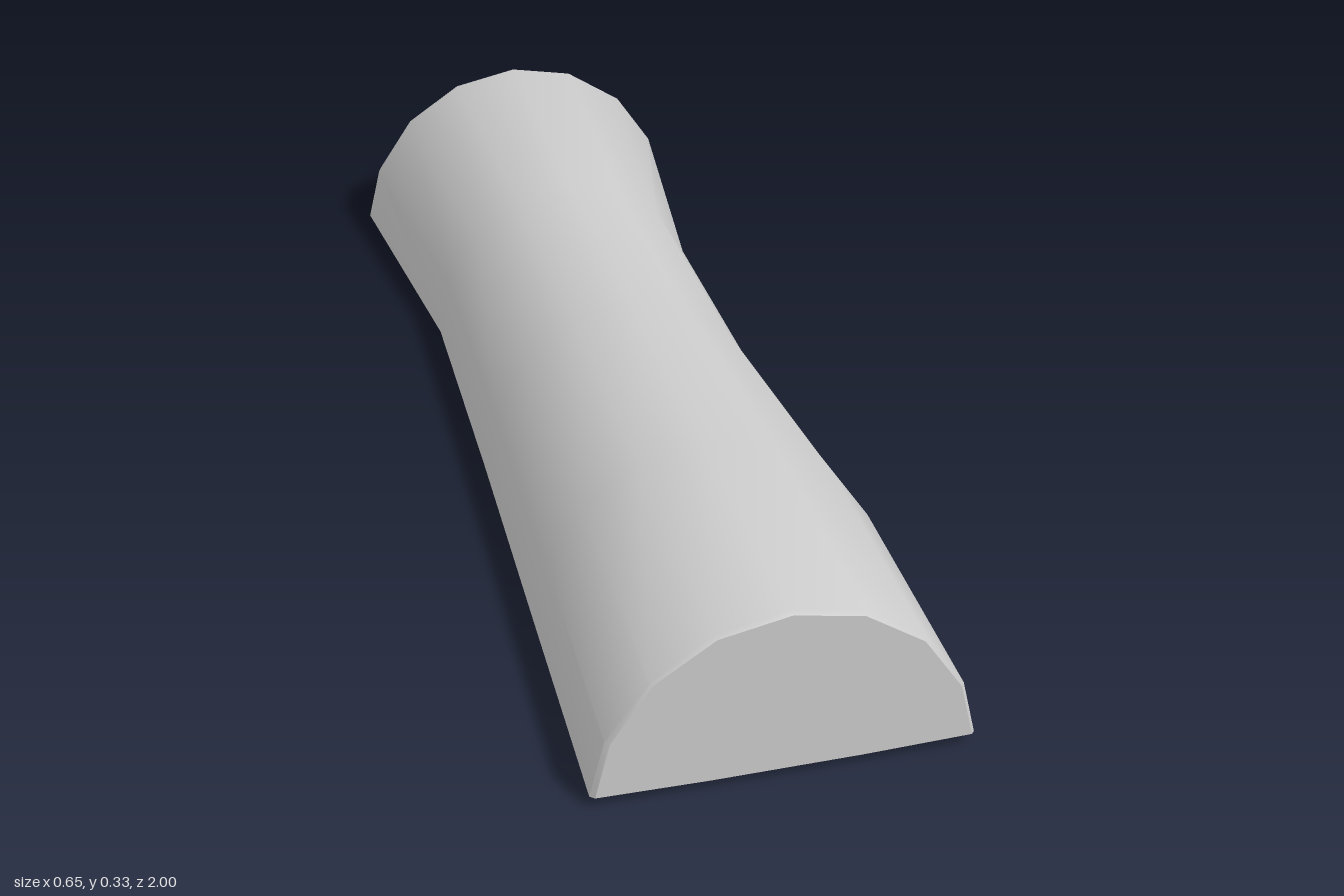
import * as THREE from 'three';
import { toCreasedNormals } from 'three/addons/utils/BufferGeometryUtils.js';

// Stations along the log: z, right half-width (-x), left half-width (+x), top height, underside height
const STATIONS = [
  [-0.99, 0.327, 0.322, 0.328, 0.02],
  [-0.5, 0.27, 0.26, 0.308, 0.003],
  [0, 0.285, 0.265, 0.318, 0],
  [0.5, 0.305, 0.325, 0.323, 0.003],
  [0.99, 0.327, 0.322, 0.328, 0.02],
];

// Half-round section: eight-sided arch, then the nearly flat underside
function section([z, right, left, top, base]) {
  const points = [];
  for (let i = 0; i <= 8; i++) {
    const a = (i / 8) * Math.PI;
    const c = Math.cos(a);
    points.push(new THREE.Vector3(c * (c > 0 ? left : right), Math.max(Math.sin(a) * top, base), z));
  }
  for (const f of [-0.4, 0, 0.4]) {
    points.push(new THREE.Vector3(f * (f > 0 ? left : right), base * 0.8, z));
  }
  return points;
}

// Slightly shrunken copy of a section, for the bevelled ends
function inset(points, z, s) {
  return points.map((p) => new THREE.Vector3(p.x * s, 0.15 + (p.y - 0.15) * s, z));
}

export function createModel() {
  const rings = STATIONS.map(section);
  rings.unshift(inset(rings[0], -1, 0.985));
  rings.push(inset(rings[rings.length - 1], 1, 0.978));

  const n = rings[0].length;
  const vertices = rings.flat().flatMap((p) => p.toArray());
  const index = [];

  // Skin between neighbouring sections
  for (let k = 0; k < rings.length - 1; k++) {
    for (let i = 0; i < n; i++) {
      const j = (i + 1) % n;
      const a = k * n + i, b = k * n + j, c = a + n, d = b + n;
      index.push(a, b, d, a, d, c);
    }
  }

  // End faces, fanned from a centre point
  const last = (rings.length - 1) * n;
  const centre = rings.length * n;
  vertices.push(0, 0.15, -1, 0, 0.15, 1);
  for (let i = 0; i < n; i++) {
    const j = (i + 1) % n;
    index.push(centre, j, i, centre + 1, last + i, last + j);
  }

  const geometry = new THREE.BufferGeometry();
  geometry.setAttribute('position', new THREE.Float32BufferAttribute(vertices, 3));
  geometry.setIndex(index);

  const log = new THREE.Mesh(
    toCreasedNormals(geometry, 0.6),
    new THREE.MeshStandardMaterial({ color: 0xcccccc })
  );
  log.name = 'halfLog';

  const group = new THREE.Group();
  group.name = 'splitLog';
  group.add(log);
  return group;
}
